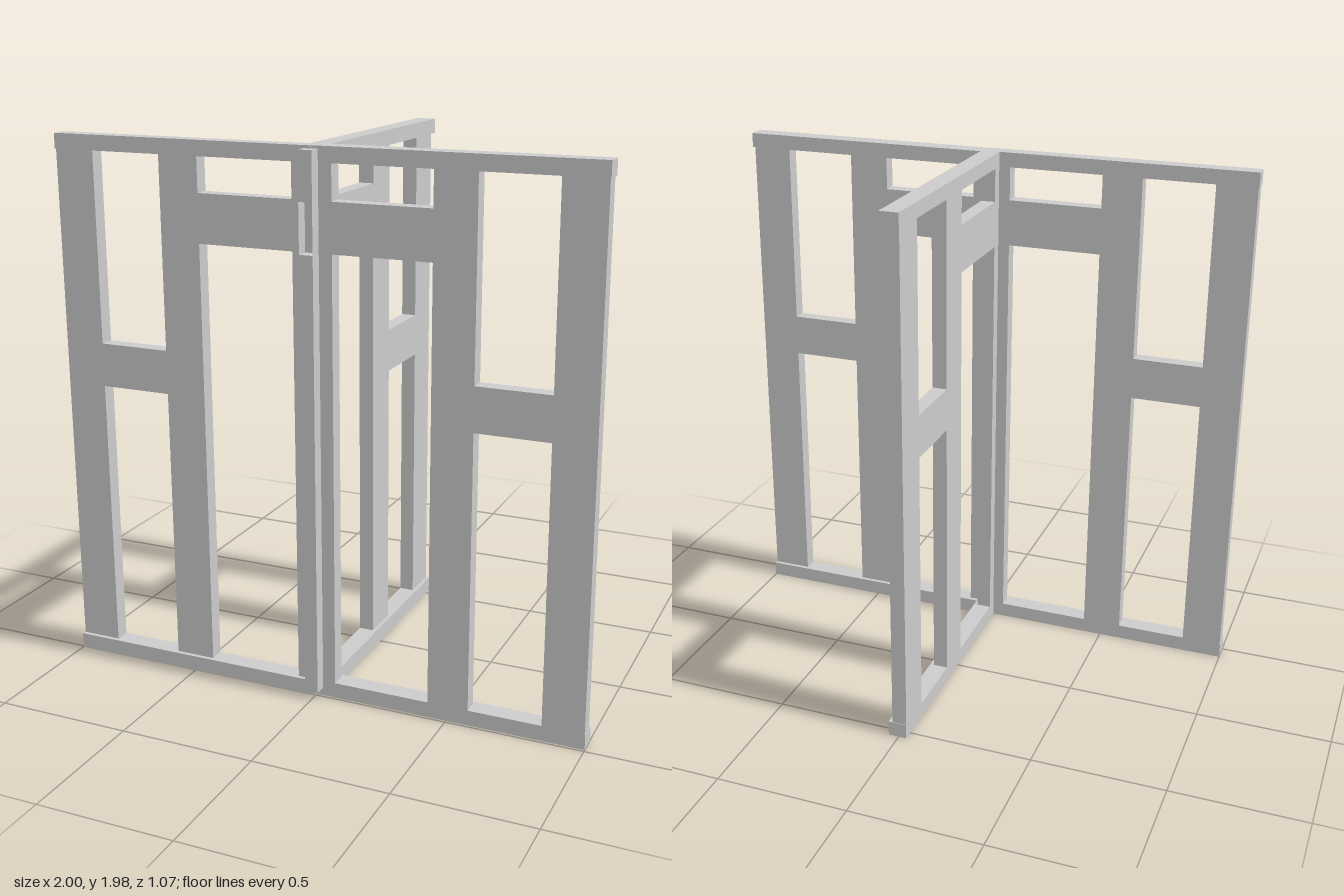
import * as THREE from 'three';

const material = new THREE.MeshStandardMaterial({ color: 0xcccccc, flatShading: true });
const openMaterial = new THREE.MeshStandardMaterial({ color: 0xcccccc, flatShading: true, side: THREE.DoubleSide });

// box given by its minimum and maximum along each axis
function box(parent, name, [x0, x1], [y0, y1], [z0, z1]) {
  const mesh = new THREE.Mesh(new THREE.BoxGeometry(x1 - x0, y1 - y0, z1 - z0), material);
  mesh.position.set((x0 + x1) / 2, (y0 + y1) / 2, (z0 + z1) / 2);
  mesh.name = name;
  parent.add(mesh);
}

// one framed screen panel running along local +x from the hinge line
function panel(name, postStart, topRailStart) {
  const g = new THREE.Group();
  g.name = name;
  const depth = [postStart, postStart + 0.055];
  box(g, 'bottomRail', [0, 1], [0, 0.057], [0, 0.07]);
  box(g, 'topRail', [0, 1], [1.925, 1.98], [topRailStart, 0.07]);
  const posts = { hingePost: [0, 0.073], middlePost: [0.43, 0.58], outerPost: [0.847, 0.998] };
  for (const [post, span] of Object.entries(posts)) box(g, post, span, [0.057, 1.925], depth);
  box(g, 'upperCrossbar', [0.073, 0.43], [1.625, 1.80], depth);
  box(g, 'middleCrossbar', [0.58, 0.847], [1.07, 1.23], depth);
  return g;
}

// upright pole at the junction, open at the front at crossbar height
function pole() {
  const g = new THREE.Group();
  g.name = 'centrePole';
  const x = [-0.025, 0.025], z = [0.49, 0.537];
  box(g, 'poleLower', x, [0.03, 1.625], z);
  box(g, 'poleUpper', x, [1.80, 1.97], z);
  for (const side of x) {
    const cheek = new THREE.Mesh(new THREE.PlaneGeometry(z[1] - z[0], 0.175), openMaterial);
    cheek.rotation.y = Math.PI / 2;
    cheek.position.set(side, 1.7125, (z[0] + z[1]) / 2);
    cheek.name = 'poleCheek';
    g.add(cheek);
  }
  return g;
}

export function createModel() {
  const model = new THREE.Group();
  model.name = 'threePanelScreen';

  const left = panel('leftPanel', 0.015, 0);
  left.position.z = 0.42;

  const right = panel('rightPanel', 0.015, 0.01);
  right.rotation.y = Math.PI;
  right.position.z = 0.505;

  const back = panel('backPanel', 0, 0);
  back.rotation.y = Math.PI / 2;
  back.position.set(-0.03, 0, 0.463);

  model.add(left, right, back, pole());
  return model;
}
